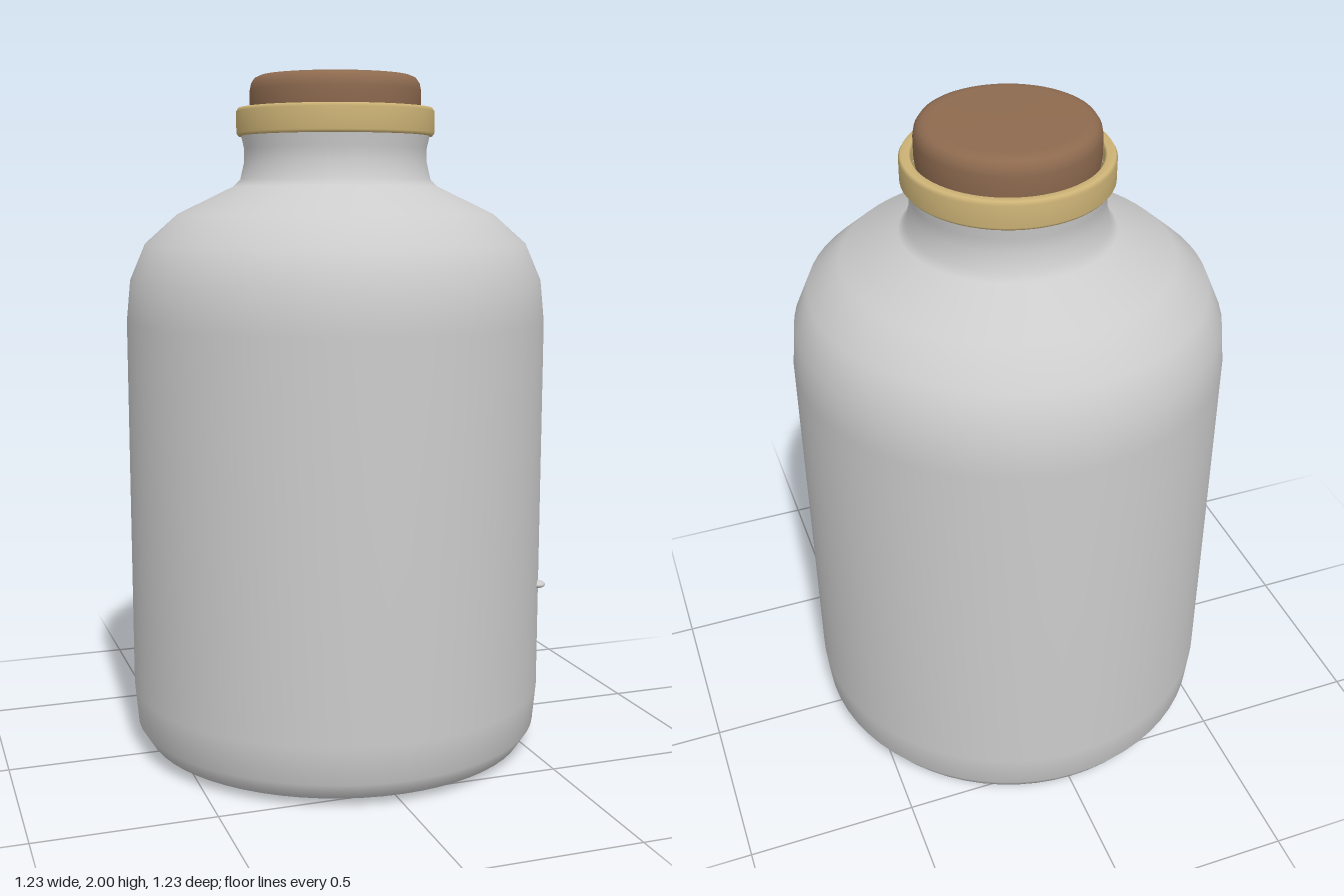
import * as THREE from 'three';

const SEGMENTS = 64;

function lathe(name, color, points) {
  const geometry = new THREE.LatheGeometry(points.map(([r, y]) => new THREE.Vector2(r, y)), SEGMENTS);
  const mesh = new THREE.Mesh(geometry, new THREE.MeshStandardMaterial({ color, side: THREE.DoubleSide }));
  mesh.name = name;
  return mesh;
}

export function createModel() {
  const model = new THREE.Group();
  model.name = 'corkedJar';

  // Jar body: flat base, rounded foot, straight wall, sloping shoulder and flared neck
  model.add(lathe('jarBody', 0xcccccc, [
    [0, 0.005], [0.49, 0.005], [0.5, 0.008], [0.575, 0.03], [0.607, 0.08], [0.617, 0.19],
    [0.617, 1.29], [0.605, 1.41], [0.56, 1.515], [0.465, 1.6], [0.3, 1.68],
    [0.28, 1.7], [0.268, 1.75], [0.268, 1.79], [0.277, 1.83], [0.277, 1.86], [0.255, 1.86],
  ]));

  // Band round the mouth, with small bevels
  model.add(lathe('neckBand', 0xcdb376, [
    [0.256, 1.825], [0.284, 1.825], [0.29, 1.833], [0.29, 1.895],
    [0.284, 1.905], [0.262, 1.905], [0.256, 1.898], [0.256, 1.825],
  ]));

  // Cork stopper with a rounded top edge
  model.add(lathe('corkStopper', 0x8d6a4f, [
    [0, 1.8], [0.235, 1.8], [0.25, 1.9], [0.25, 1.955], [0.246, 1.975],
    [0.236, 1.99], [0.22, 1.997], [0.2, 1.998], [0, 2],
  ]));

  // Tiny bead on the wall
  const bead = new THREE.Mesh(
    new THREE.SphereGeometry(1, 16, 10),
    new THREE.MeshStandardMaterial({ color: 0xcccccc }),
  );
  bead.name = 'wallBead';
  bead.scale.set(0.023, 0.011, 0.024);
  bead.position.set(0.527, 0.51, 0.32);
  model.add(bead);

  return model;
}
